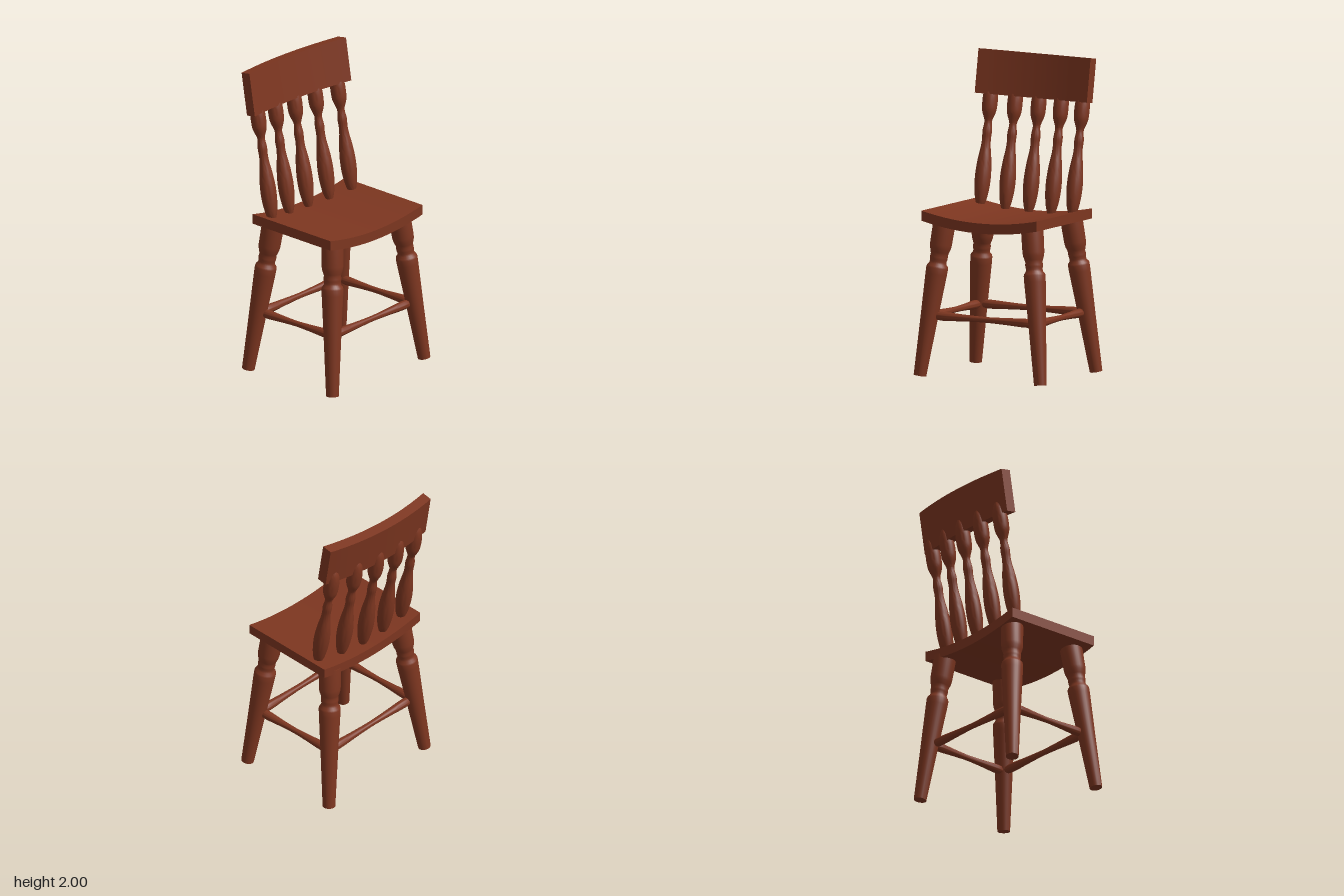
import * as THREE from 'three';
import { toCreasedNormals } from 'three/addons/utils/BufferGeometryUtils.js';

const wood = new THREE.MeshStandardMaterial({ color: 0x7d3620 });

function part(name, geometry, parent, crease = 0.6) {
  const mesh = new THREE.Mesh(toCreasedNormals(geometry, crease), wood);
  mesh.name = name;
  parent.add(mesh);
  return mesh;
}

// Curved slab: top edge y = f(x) from x0 to x1, given thickness, extruded along z
function curvedSlab(f, x0, x1, thickness, depth) {
  const top = [], bottom = [], n = 20;
  for (let i = 0; i <= n; i++) {
    const x = x0 + ((x1 - x0) * i) / n;
    top.push(new THREE.Vector2(x, f(x)));
    bottom.push(new THREE.Vector2(x, f(x) - thickness));
  }
  const shape = new THREE.Shape([...bottom, ...top.reverse()]);
  return new THREE.ExtrudeGeometry(shape, { depth, bevelEnabled: false });
}

// Lathe-turned rod from a to b; profile is [fraction along, radius]
function turned(name, profile, a, b, parent) {
  const length = a.distanceTo(b);
  const pts = profile.map(([t, r]) => new THREE.Vector2(r, t * length));
  const end = pts[pts.length - 1].y;
  pts.unshift(new THREE.Vector2(0, pts[0].y));
  pts.push(new THREE.Vector2(0, end));
  const mesh = part(name, new THREE.LatheGeometry(pts, 28), parent);
  mesh.position.copy(a);
  mesh.quaternion.setFromUnitVectors(new THREE.Vector3(0, 1, 0), b.clone().sub(a).normalize());
}

// Smooth a coarse profile with a spline
function smooth(points, n = 40) {
  const curve = new THREE.SplineCurve(points.map(([t, r]) => new THREE.Vector2(t, r)));
  return curve.getPoints(n).map((p) => [p.x, p.y]);
}

const legProfile = [
  [0, 0.04], [0.35, 0.054], [0.66, 0.068], [0.70, 0.069], [0.712, 0.066], [0.725, 0.055],
  [0.74, 0.052], [0.755, 0.055], [0.77, 0.056], [0.785, 0.054], [0.8, 0.058], [0.825, 0.066],
  [0.85, 0.069], [1, 0.071],
];
const stretcherProfile = smooth([
  [0, 0.012], [0.04, 0.023], [0.09, 0.028], [0.16, 0.027], [0.3, 0.022], [0.5, 0.018],
  [0.7, 0.022], [0.84, 0.027], [0.91, 0.028], [0.96, 0.023], [1, 0.012],
]);
const spindleProfile = smooth([
  [0, 0.024], [0.06, 0.038], [0.15, 0.048], [0.25, 0.05], [0.36, 0.043], [0.46, 0.031],
  [0.52, 0.028], [0.58, 0.03], [0.64, 0.024], [0.67, 0.026], [0.73, 0.043], [0.78, 0.048],
  [0.86, 0.047], [0.94, 0.035], [1, 0.008],
], 56);

export function createModel() {
  const chair = new THREE.Group();
  chair.name = 'chair';

  // Dished seat
  const seat = curvedSlab((x) => 1.0 + 0.046 * (x / 0.42) ** 2, -0.432, 0.415, 0.064, 0.667);
  seat.translate(0, 0, -0.3);
  part('seat', seat, chair);

  // Splayed legs and stretchers, turned slightly relative to the seat
  const base = new THREE.Group();
  base.name = 'legFrame';
  base.position.set(-0.007, 0, 0.021);
  base.rotation.y = 0.03;
  chair.add(base);
  for (const sx of [-1, 1]) for (const sz of [-1, 1]) {
    turned(`${sz > 0 ? 'front' : 'back'}${sx > 0 ? 'Left' : 'Right'}Leg`, legProfile,
      new THREE.Vector3(sx * 0.435, 0.007, sz * 0.351),
      new THREE.Vector3(sx * 0.316, 0.98, sz * 0.247), base);
  }
  const y = 0.385, X = 0.375, Z = 0.298;
  for (const s of [-1, 1]) {
    turned(s > 0 ? 'frontStretcher' : 'backStretcher', stretcherProfile,
      new THREE.Vector3(-X, y, s * Z), new THREE.Vector3(X, y, s * Z), base);
    turned(s > 0 ? 'leftStretcher' : 'rightStretcher', stretcherProfile,
      new THREE.Vector3(s * X, y, -Z), new THREE.Vector3(s * X, y, Z), base);
  }

  // Back: a bowed, leaning top rail over five spindles along the same bow
  const bow = (x) => 0.25 * (x + 0.1) ** 2;
  const rail = curvedSlab((x) => 0.068 - bow(x), -0.435, 0.412, 0.068, 0.28);
  rail.rotateX(-Math.PI / 2);
  const topRail = part('topRail', rail, chair);
  topRail.rotation.x = -0.165;
  topRail.position.set(0, 1.71, -0.305);

  for (let i = -2; i <= 2; i++) {
    const x = -0.003 + i * 0.174, z = -0.222 + bow(x);
    turned('backSpindle', spindleProfile,
      new THREE.Vector3(x, 1.0 + 0.004 * i * i, z), new THREE.Vector3(x, 1.81, z - 0.146), chair);
  }
  return chair;
}
